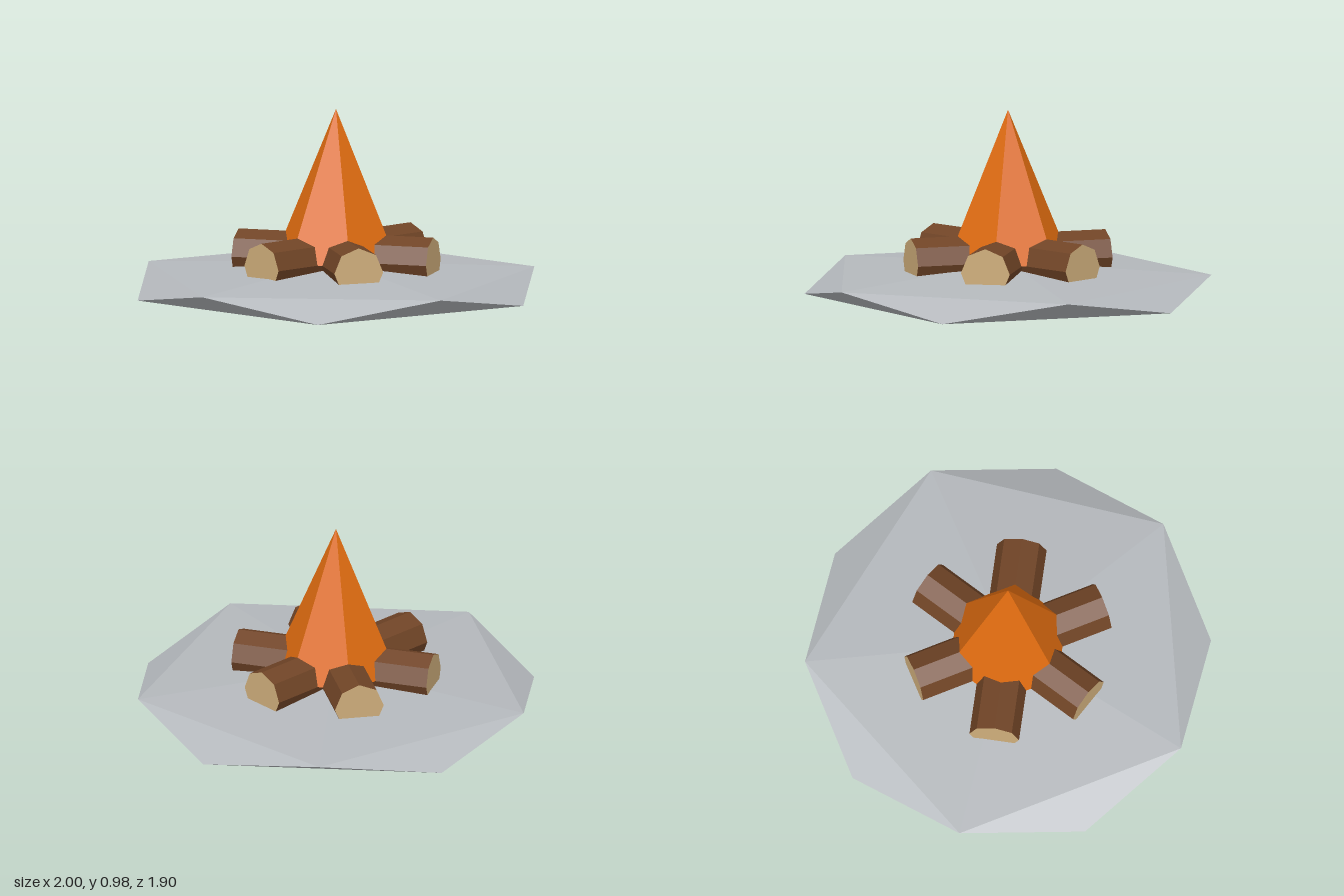
import * as THREE from 'three';

const mat = (name, color) => {
  const m = new THREE.MeshStandardMaterial({ color });
  m.name = name;
  return m;
};

// Separate the faces so every facet is shaded flat
const facet = (geometry) => {
  const g = geometry.index ? geometry.toNonIndexed() : geometry;
  g.computeVertexNormals();
  return g;
};

const part = (name, geometry, material) => {
  const mesh = new THREE.Mesh(facet(geometry), material);
  mesh.name = name;
  return mesh;
};

// Flattened twenty-sided stone: two poles and two staggered rings of five
function stoneGeometry() {
  const mid = 0.112, pole = 0.112, ringHeight = 0.05;
  const ring = (y, offset) => Array.from({ length: 5 }, (_, k) => {
    const a = (k * 2 + offset) * Math.PI / 5;
    return [Math.cos(a), y, Math.sin(a)];
  });
  const upper = ring(mid + ringHeight, 0);
  const lower = ring(mid - ringHeight, 1);
  const top = [0, mid + pole, 0], bottom = [0, mid - pole, 0];
  const points = [];
  for (let k = 0; k < 5; k++) {
    const n = (k + 1) % 5;
    points.push(top, upper[n], upper[k]);
    points.push(upper[k], upper[n], lower[k]);
    points.push(lower[k], upper[n], lower[n]);
    points.push(bottom, lower[k], lower[n]);
  }
  const g = new THREE.BufferGeometry();
  g.setAttribute('position', new THREE.Float32BufferAttribute(points.flat(), 3));
  return g;
}

export function createModel() {
  const stone = mat('stone grey', 0xb4b8bc);
  const bark = mat('bark brown', 0x704426);
  const wood = mat('cut wood', 0xcfae7b);
  const fire = mat('flame orange', 0xe06c10);

  const model = new THREE.Group();
  model.name = 'campfire';
  model.add(part('stoneBase', stoneGeometry(), stone));

  // Six eight-sided logs radiating from the centre, with pale cut ends
  const logs = new THREE.Group();
  logs.name = 'logs';
  const logGeometry = new THREE.CylinderGeometry(0.123, 0.123, 0.5, 8)
    .rotateX(Math.PI / 2).translate(0, 0.24, 0.25);
  for (let i = 0; i < 6; i++) {
    const log = part('log', logGeometry, [bark, wood, wood]);
    log.rotation.y = i * Math.PI / 3;
    logs.add(log);
  }
  model.add(logs);

  // Six-sided flame standing on the logs
  const flame = part('flame', new THREE.ConeGeometry(0.31, 0.74, 6), fire);
  flame.position.y = 0.24 + 0.37;
  model.add(flame);

  return model;
}
